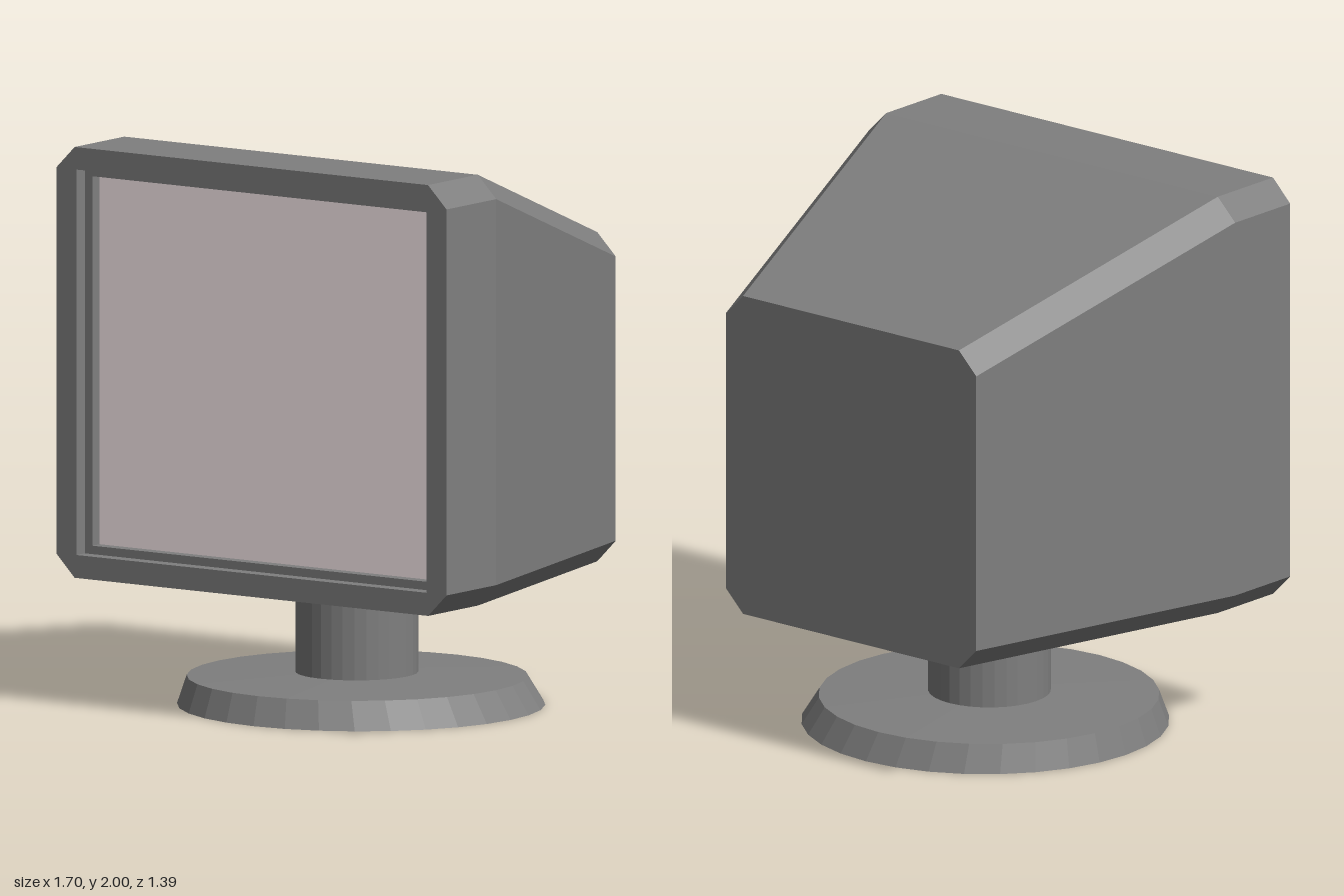
import * as THREE from 'three';

const darkGrey = () => new THREE.MeshStandardMaterial({ color: 0x7f7f7f, flatShading: true });

// Chamfered rectangle at depth z, counter-clockwise from the front (c = 0: plain rectangle)
function section(w, y0, y1, z, c) {
  return [
    [w, y0 + c], [w, y1 - c], [w - c, y1], [c - w, y1],
    [-w, y1 - c], [-w, y0 + c], [c - w, y0], [w - c, y0],
  ].map(([x, y]) => new THREE.Vector3(x, y, z));
}

// Skin a list of sections running back to front, with the first one capped
function loft(loops) {
  const pos = [];
  const tri = (a, b, c) => {
    if (a.equals(b) || b.equals(c) || a.equals(c)) return;
    for (const p of [a, b, c]) pos.push(p.x, p.y, p.z);
  };
  for (let i = 0; i < loops.length - 1; i++) {
    const p = loops[i], q = loops[i + 1], n = p.length;
    for (let j = 0; j < n; j++) {
      const k = (j + 1) % n;
      tri(p[j], p[k], q[k]);
      tri(p[j], q[k], q[j]);
    }
  }
  const back = loops[0];
  for (let j = 1; j < back.length - 1; j++) tri(back[0], back[j + 1], back[j]);
  const g = new THREE.BufferGeometry();
  g.setAttribute('position', new THREE.Float32BufferAttribute(pos, 3));
  g.computeVertexNormals();
  return g;
}

export function createModel() {
  const group = new THREE.Group();
  const add = (name, geometry, material = darkGrey()) => {
    const mesh = new THREE.Mesh(geometry, material);
    mesh.name = name;
    group.add(mesh);
    return mesh;
  };

  // Tapered casing, front bezel and the stepped recess around the screen
  add('housing', loft([
    section(0.58, 0.463, 1.637, -0.697, 0.08),
    section(0.848, 0.463, 2, 0.397, 0.08),
    section(0.848, 0.463, 2, 0.697, 0.08),
    section(0.76, 0.545, 1.92, 0.697, 0),
    section(0.76, 0.545, 1.92, 0.647, 0),
    section(0.727, 0.575, 1.893, 0.647, 0),
    section(0.727, 0.575, 1.893, 0.603, 0),
  ]));

  // Flat screen at the bottom of the recess
  const screen = add('screen', new THREE.PlaneGeometry(1.454, 1.318),
    new THREE.MeshStandardMaterial({ color: 0xfff0f2 }));
  screen.position.set(0, 1.234, 0.603);

  // Round foot with a sloping rim and a shallow conical top
  const profile = [[0, 0], [0.65, 0], [0.602, 0.1], [0.217, 0.115], [0, 0.115]];
  const foot = new THREE.LatheGeometry(profile.map(([r, y]) => new THREE.Vector2(r, y)), 32);
  // The upper face sits slightly off the centre of the bottom
  const p = foot.attributes.position;
  for (let i = 0; i < p.count; i++) if (p.getY(i) > 0.05) p.setX(i, p.getX(i) - 0.017);
  foot.computeVertexNormals();
  add('foot', foot).position.z = 0.034;

  // Neck between foot and housing
  add('neck', new THREE.CylinderGeometry(0.217, 0.217, 0.39, 32))
    .position.set(-0.017, 0.295, 0.037);

  return group;
}
